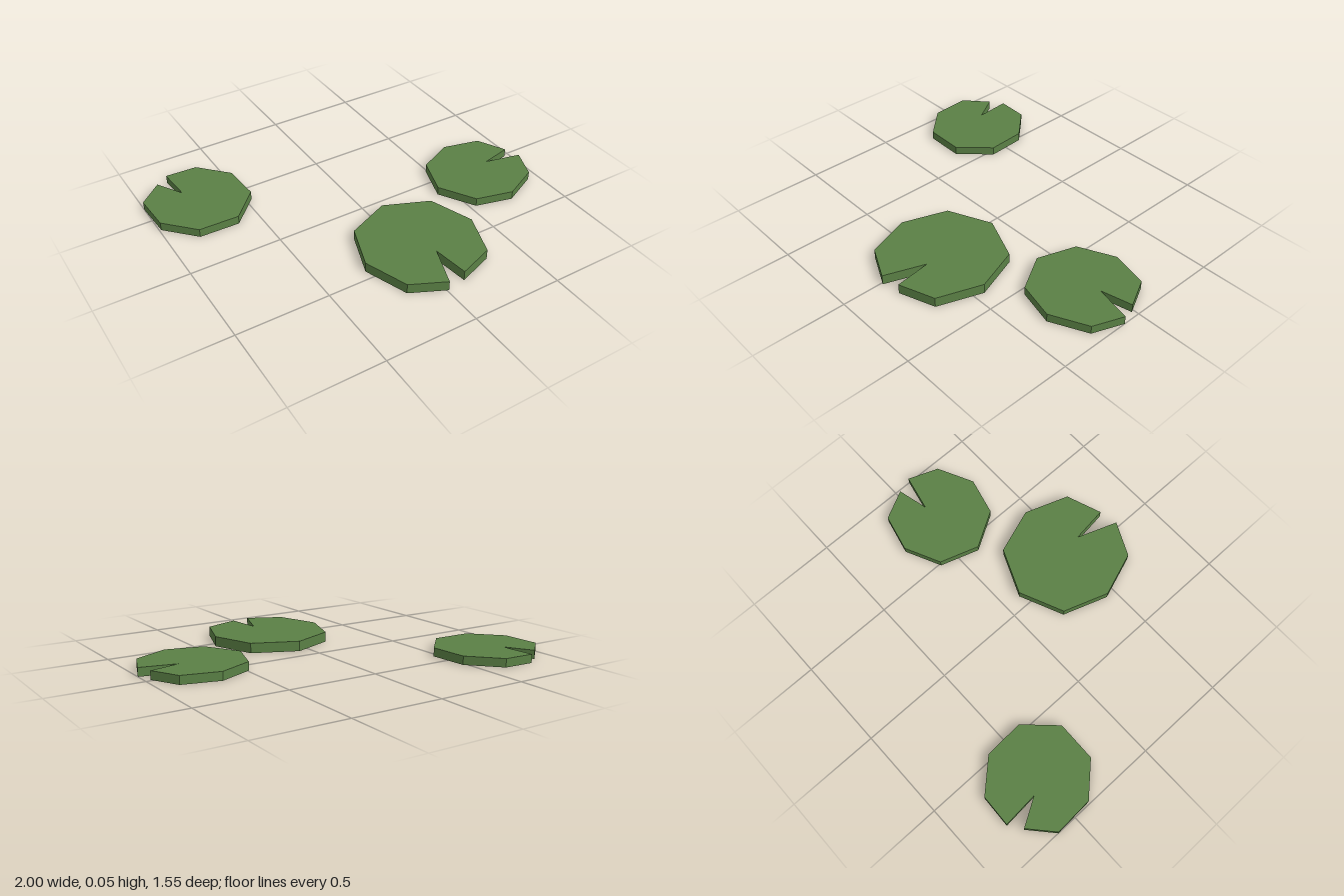
import * as THREE from 'three';

// Each pad: faceted outline as [x, z] corners, including the notch, and its thickness
const PADS = [
  {
    name: 'frontLilyPad',
    height: 0.055,
    outline: [
      [0.065, 0.095], [0.31, 0.2], [0.395, 0.445], [0.31, 0.685], [0.115, 0.755],
      [0.09, 0.555], [0.01, 0.775], [-0.175, 0.685], [-0.26, 0.445], [-0.175, 0.2],
    ],
  },
  {
    name: 'leftLilyPad',
    height: 0.047,
    outline: [
      [0.685, -0.192], [0.89, -0.143], [0.97, 0.015], [0.8, 0.055], [1.0, 0.1],
      [0.937, 0.265], [0.74, 0.36], [0.535, 0.308], [0.42, 0.113], [0.49, -0.1],
    ],
  },
  {
    name: 'backLilyPad',
    height: 0.047,
    outline: [
      [-0.8, -0.78], [-0.625, -0.772], [-0.478, -0.613], [-0.467, -0.395], [-0.62, -0.235],
      [-0.84, -0.24], [-0.99, -0.4], [-1.0, -0.615], [-0.872, -0.73], [-0.787, -0.585],
    ],
  },
];

// Extrude an outline upward from the ground
function padGeometry(outline, height) {
  const shape = new THREE.Shape(outline.map(([x, z]) => new THREE.Vector2(x, -z)));
  return new THREE.ExtrudeGeometry(shape, { depth: height, bevelEnabled: false }).rotateX(-Math.PI / 2);
}

export function createModel() {
  const group = new THREE.Group();
  group.name = 'lilyPads';
  const leafGreen = new THREE.MeshStandardMaterial({ color: 0x5a8045, flatShading: true });
  leafGreen.name = 'leafGreen';

  for (const { name, height, outline } of PADS) {
    const pad = new THREE.Mesh(padGeometry(outline, height), leafGreen);
    pad.name = name;
    group.add(pad);
  }
  return group;
}
